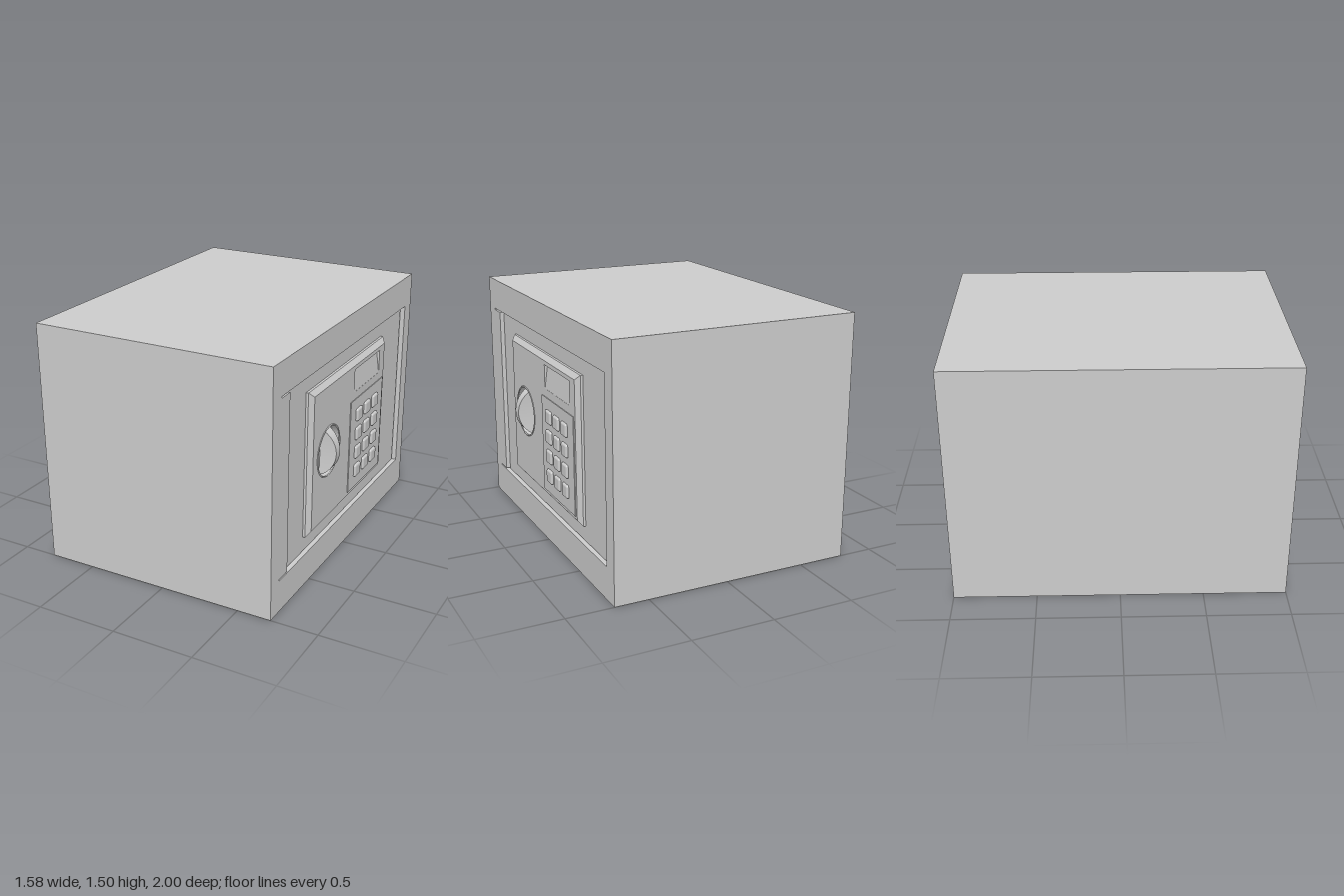
import * as THREE from 'three';
import { toCreasedNormals } from 'three/addons/utils/BufferGeometryUtils.js';
import { RoundedBoxGeometry } from 'three/addons/geometries/RoundedBoxGeometry.js';

const material = new THREE.MeshStandardMaterial({ color: 0xcccccc });

// Depths of the layers, measured along the direction the door faces
const BACK = -0.79, FRAME_BACK = 0.6, FRAME = 0.71, DOOR = 0.685, PANEL = 0.725;

function add(parent, name, geometry, x = 0, y = 0, z = 0) {
  const mesh = new THREE.Mesh(geometry, material);
  mesh.name = name;
  mesh.position.set(x, y, z);
  parent.add(mesh);
  return mesh;
}

// Box given by its limits on each axis
function addBox(parent, name, x0, x1, y0, y1, z0, z1) {
  return add(parent, name, new THREE.BoxGeometry(x1 - x0, y1 - y0, z1 - z0),
    (x0 + x1) / 2, (y0 + y1) / 2, (z0 + z1) / 2);
}

function outline(points, Type = THREE.Shape) {
  return new Type(points.map(([x, y]) => new THREE.Vector2(x, y)));
}

const rect = (x0, x1, y0, y1) => [[x0, y0], [x1, y0], [x1, y1], [x0, y1]];

// Joins successive closed rings of points with side faces
function loft(rings) {
  const positions = [];
  for (let r = 0; r + 1 < rings.length; r++) {
    const a = rings[r], b = rings[r + 1], n = a.length;
    for (let i = 0; i < n; i++) {
      const j = (i + 1) % n;
      for (const p of [a[i], a[j], b[j], a[i], b[j], b[i]]) positions.push(...p);
    }
  }
  const geometry = new THREE.BufferGeometry();
  geometry.setAttribute('position', new THREE.Float32BufferAttribute(positions, 3));
  geometry.computeVertexNormals();
  return toCreasedNormals(geometry, 0.6);
}

function extrude(shape, depth) {
  return new THREE.ExtrudeGeometry(shape, { depth, bevelEnabled: false, curveSegments: 32 });
}

// Case: solid rear block and a front frame with the door opening and hinge slits
function buildCase(parent) {
  addBox(parent, 'caseBody', -1, 1, 0, 1.5, BACK, FRAME_BACK);
  const front = outline(rect(-1, 1, 0, 1.5));
  front.holes.push(outline([
    [-0.9, 0.2], [0.9, 0.2], [0.9, 1.305], [-0.9, 1.305],
    [-0.9, 1.295], [-0.8, 1.295], [-0.8, 0.21], [-0.9, 0.21],
  ], THREE.Path));
  add(parent, 'doorFrame', extrude(front, FRAME - FRAME_BACK), 0, 0, FRAME_BACK);
}

// Control panel: flat face with openings and a sloping rim
function buildPanel(parent) {
  const face = outline(rect(-0.52, 0.52, 0.33, 1.17));
  face.holes.push(new THREE.Path().absarc(-0.305, 0.76, 0.155, 0, Math.PI * 2, true));
  face.holes.push(outline(rect(0.05, 0.44, 1, 1.145), THREE.Path));
  add(parent, 'panelFace', extrude(face, PANEL - DOOR), 0, 0, DOOR);

  const ring = (inset, z) =>
    rect(-0.55 + inset, 0.55 - inset, 0.3 + inset, 1.2 - inset).map(([x, y]) => [x, y, z]);
  add(parent, 'panelRim', loft([ring(0, DOOR), ring(0, 0.7), ring(0.03, PANEL)]));

  // Display window, sinking towards its top edge
  const screen = new THREE.PlaneGeometry(0.39, 0.145);
  const p = screen.attributes.position;
  for (let i = 0; i < p.count; i++) p.setZ(i, p.getY(i) > 0 ? -0.02 : 0);
  screen.computeVertexNormals();
  add(parent, 'displayWindow', screen, 0.245, 1.0725, PANEL - 0.001);
}

// Keypad: thin plate with a 3 by 4 set of buttons
function buildKeypad(parent) {
  addBox(parent, 'keypadPlate', 0, 0.5, 0.35, 0.95, PANEL - 0.01, PANEL + 0.005);
  const button = new RoundedBoxGeometry(0.082, 0.082, 0.04, 3, 0.012);
  for (let row = 0; row < 4; row++) {
    for (let col = 0; col < 3; col++) {
      add(parent, 'keypadButton', button, 0.12 + col * 0.125, 0.84 - row * 0.125, 0.725);
    }
  }
}

// Knob: round lip and an arched grip with pinched sides, set in the recess
function buildKnob(parent) {
  const knob = new THREE.Group();
  knob.name = 'knob';
  knob.position.set(-0.305, 0.76, 0);
  parent.add(knob);
  add(knob, 'knobLip', new THREE.TorusGeometry(0.155, 0.005, 8, 64), 0, 0, PANEL);

  const rings = [];
  for (let i = 0; i <= 24; i++) {
    const t = -1 + i / 12, y = 0.15 * t;
    const top = 0.625 + Math.sqrt(0.16 ** 2 - y * y);
    const tip = 0.027 + 0.014 * t * t, base = 0.036 + 0.008 * t * t;
    rings.push([[tip, y, top], [base, y, 0.67], [-base, y, 0.67], [-tip, y, top]]);
  }
  add(knob, 'knobGrip', loft(rings));
}

export function createModel() {
  const model = new THREE.Group();
  model.name = 'safe';

  // Parts are built facing +z, then turned so the door faces +x
  const safe = new THREE.Group();
  safe.name = 'safeBody';
  safe.rotation.y = Math.PI / 2;
  model.add(safe);

  buildCase(safe);
  addBox(safe, 'door', -0.795, 0.885, 0.205, 1.3, FRAME_BACK, DOOR);
  buildPanel(safe);
  buildKeypad(safe);
  buildKnob(safe);
  return model;
}
